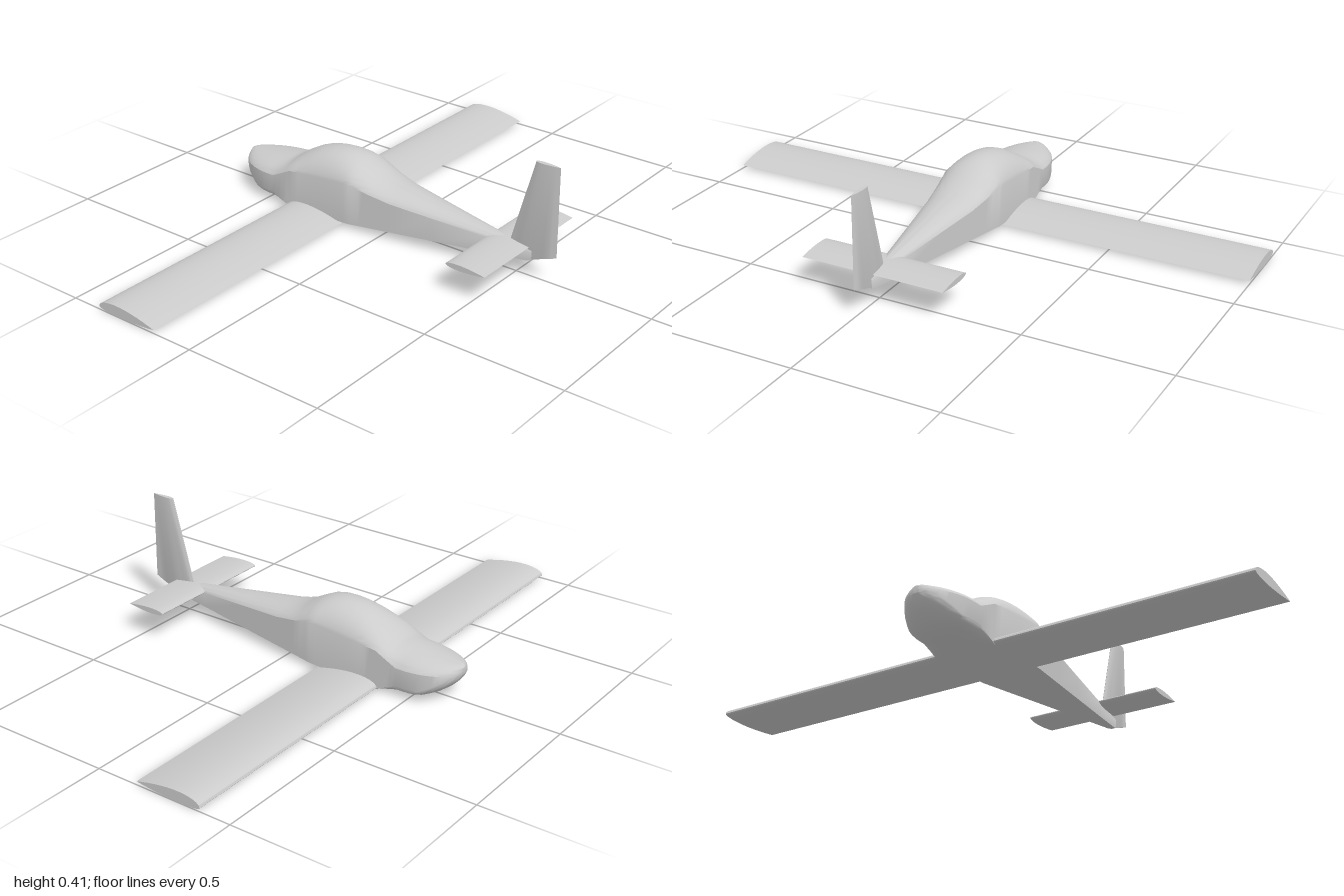
import * as THREE from 'three';
import { toCreasedNormals } from 'three/addons/utils/BufferGeometryUtils.js';

const material = new THREE.MeshStandardMaterial({ color: 0xcccccc });

// Skin a list of equal-length closed rings and cap both ends.
function loft(name, rings, crease = 0.5) {
  const n = rings[0].length;
  const positions = rings.flat().flatMap((p) => p.toArray());
  const index = [];
  for (let i = 0; i < rings.length - 1; i++) {
    for (let j = 0; j < n; j++) {
      const a = i * n + j, b = i * n + (j + 1) % n;
      index.push(a, b, a + n, b, b + n, a + n);
    }
  }
  [0, rings.length - 1].forEach((r) => {
    const centre = new THREE.Vector3();
    rings[r].forEach((p) => centre.addScaledVector(p, 1 / n));
    const c = positions.length / 3;
    positions.push(...centre.toArray());
    for (let j = 0; j < n; j++) {
      const a = r * n + j, b = r * n + (j + 1) % n;
      if (r === 0) index.push(c, b, a);
      else index.push(c, a, b);
    }
  });
  const geometry = new THREE.BufferGeometry();
  geometry.setAttribute('position', new THREE.Float32BufferAttribute(positions, 3));
  geometry.setIndex(index);
  const mesh = new THREE.Mesh(toCreasedNormals(geometry, crease), material);
  mesh.name = name;
  return mesh;
}

// Piecewise linear profile through [x, value] pairs.
function profile(points, x) {
  if (x <= points[0][0]) return points[0][1];
  for (let i = 1; i < points.length; i++) {
    const [x0, v0] = points[i - 1], [x1, v1] = points[i];
    if (x <= x1) return v0 + (v1 - v0) * (x - x0) / (x1 - x0);
  }
  return points[points.length - 1][1];
}

// Fuselage profiles along x: roof line, shoulder, lower side edge, keel
const roof = [[-0.65, 0.124], [-0.64, 0.13], [-0.42, 0.16], [-0.38, 0.187], [-0.34, 0.21], [-0.3, 0.227],
  [-0.25, 0.24], [-0.2, 0.244], [-0.16, 0.241], [-0.12, 0.23], [-0.08, 0.21], [-0.04, 0.188],
  [0, 0.175], [0.04, 0.167], [0.56, 0.101]];
const shoulder = [[-0.65, 0.105], [-0.46, 0.105], [-0.38, 0.145], [-0.12, 0.17], [-0.04, 0.15],
  [0.04, 0.135], [0.56, 0.09]];
const lowEdge = [[-0.65, 0.103], [-0.54, 0.04], [-0.46, 0.04], [-0.38, 0.004], [0.54, 0.057], [0.56, 0.062]];
const keel = [[-0.65, 0.1], [-0.64, 0.079], [-0.62, 0.055], [-0.58, 0.026], [-0.54, 0.01],
  [-0.5, 0.003], [-0.38, 0.003], [0.54, 0.057], [0.56, 0.062]];

function halfWidth(x) {
  if (x < -0.48) return 0.11 * Math.sqrt(Math.max(0.004, 1 - ((x + 0.48) / 0.17) ** 2));
  return profile([[-0.12, 0.11], [0.48, 0.02], [0.56, 0.009]], x);
}

function fuselageRing(x) {
  const w = halfWidth(x), top = profile(roof, x), edge = profile(shoulder, x);
  const low = profile(lowEdge, x), bottom = profile(keel, x);
  const half = [];
  const sweep = 1.3, steps = 12;
  // arched roof, then flat side, then rounded belly
  for (let i = 0; i <= steps; i++) {
    const a = sweep * i / steps;
    const rise = (Math.cos(a) - Math.cos(sweep)) / (1 - Math.cos(sweep));
    half.push([edge + (top - edge) * rise, w * Math.sin(a) / Math.sin(sweep)]);
  }
  for (let i = 0; i <= 8; i++) {
    const a = Math.PI / 2 * i / 8;
    half.push([low - (low - bottom) * Math.sin(a), w * Math.cos(a)]);
  }
  const mirrored = half.slice(1, -1).reverse().map(([y, z]) => [y, -z]);
  return [...half, ...mirrored].map(([y, z]) => new THREE.Vector3(x, y, z));
}

// Airfoil outline from the trailing edge over the upper side and back below.
function airfoil(x0, x1, upper, lower, place) {
  const ring = [], steps = 14;
  for (let i = 0; i < steps * 2; i++) {
    const a = Math.PI * i / steps;
    const t = (1 + Math.cos(a)) / 2;
    const bulge = 1.5 * Math.sqrt(t) * (1 - t) * 1.73;
    ring.push(place(x0 + (x1 - x0) * t, i < steps ? upper * bulge : -lower * bulge));
  }
  return ring;
}

export function createModel() {
  const model = new THREE.Group();

  // Fuselage, with closer stations where the nose curves
  const stations = [];
  for (let i = 0; i <= 12; i++) stations.push(-0.48 - 0.17 * Math.cos(Math.PI / 2 * i / 12));
  for (let x = -0.46; x < 0.05; x += 0.02) stations.push(x);
  stations.push(0.2, 0.4, 0.54, 0.56);
  model.add(loft('fuselage', stations.map(fuselageRing)));

  // Straight wing and tailplane, each one span from tip to tip
  const span = (name, x0, x1, y, upper, lower, reach) => loft(name, [-reach, reach].map((z) =>
    airfoil(x0, x1, upper, lower, (x, h) => new THREE.Vector3(x, y + h, z))));
  model.add(span('wing', -0.39, -0.15, 0.012, 0.026, 0.012, 1));
  model.add(span('tailplane', 0.4, 0.55, 0.105, 0.01, 0.01, 0.257));

  // Fin and rudder: swept leading edge, slanted foot
  const fin = [0, 1].map((top) => airfoil(0, 1, 0.008, 0.008, (t, h) => {
    const x0 = top ? 0.56 : 0.468;
    const x = x0 + (0.65 - x0) * t;
    const foot = profile([[0.468, 0.09], [0.54, 0.058], [0.65, 0.095]], x);
    return new THREE.Vector3(x, top ? 0.413 : foot, -h);
  }));
  model.add(loft('fin', fin));

  return model;
}
